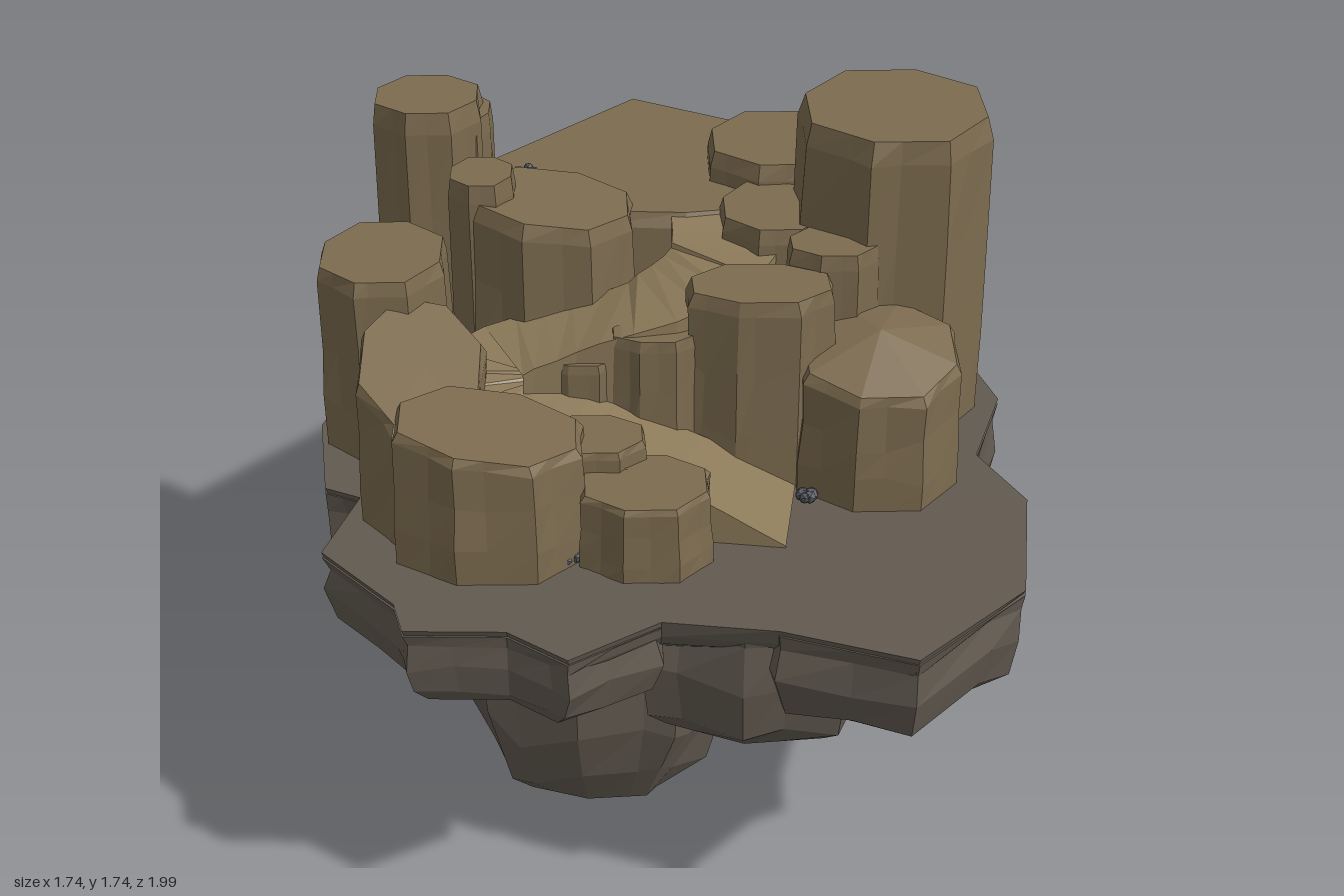
import * as THREE from 'three';

const mat = (color, side = THREE.FrontSide) => new THREE.MeshStandardMaterial({ color, flatShading: true, side });
const BROWN = mat(0x7c6b4f), STONE = mat(0x625a50), PATH = mat(0x8c7a59, THREE.DoubleSide), PEBBLE = mat(0x50535a);
const GROUND = 0.94;

// Small seeded generator for the uneven facets
let seed = 7;
const rand = () => (seed = (seed * 16807) % 2147483647) / 2147483647 - 0.5;

// Side profiles: [height fraction, outline scale]
const PILLAR = [[0, 1.05], [0.3, 1.05], [0.62, 1.02], [0.93, 1.01], [1, 0.94]];
const HANGING = [[0, 0.6], [0.1, 0.8], [0.3, 0.97], [0.65, 1], [1, 1]];
const BLOCK = [[0, 0.8], [0.16, 0.94], [0.55, 1.01], [0.85, 0.98], [1, 1]];
const SLAB = [[0, 0.85], [0.45, 0.95], [0.7, 0.98], [1, 1]];

// Ragged outline of the ground slab, as [x, z]
const RIM = [[-0.05, -1], [0.24, -0.91], [0.35, -0.73], [0.44, -0.62], [0.67, -0.43], [0.8, -0.31], [0.855, -0.12],
  [0.77, 0.15], [0.87, 0.35], [0.82, 0.72], [0.56, 0.98], [0.26, 0.88], [0, 0.85], [-0.2, 0.99], [-0.34, 0.89],
  [-0.57, 0.89], [-0.6, 0.79], [-0.79, 0.59], [-0.73, 0.36], [-0.82, 0.32], [-0.87, 0.03], [-0.79, -0.29],
  [-0.61, -0.46], [-0.66, -0.57], [-0.55, -0.7], [-0.33, -0.79], [-0.27, -0.97]];

// Boxy oval outline inside the given x and z limits
function oval(x0, x1, z0, z1, n = 8) {
  return Array.from({ length: n }, (_, i) => {
    const a = 0.3 + (i / n) * Math.PI * 2, c = Math.cos(a), s = Math.sin(a);
    const k = 1 / Math.pow(Math.abs(c) ** 3 + Math.abs(s) ** 3, 1 / 3);
    return [(x0 + x1) / 2 + (x1 - x0) / 2 * c * k, (z0 + z1) / 2 + (z1 - z0) / 2 * s * k];
  });
}

// Part of the rim, closed by its ends moved inwards
function sector(from, count) {
  const edge = Array.from({ length: count }, (_, i) => RIM[(from + i) % RIM.length]);
  const inner = [edge[count - 1], edge[0]].map(([x, z]) => [x * 0.4, z * 0.4]);
  return [...edge, ...inner];
}

// Adds a point on every edge, later pushed in as a shallow groove
const splitEdges = (outline) => outline.flatMap((p, i) => {
  const q = outline[(i + 1) % outline.length], t = 0.5 + rand() * 0.5;
  return [p, [p[0] + (q[0] - p[0]) * t, p[1] + (q[1] - p[1]) * t]];
});

// Faceted rock lofted over an outline; slope tilts the top along x and z, peak raises its middle
function rock(outline, y0, y1, { profile = PILLAR, slope = [0, 0], peak = 0, rough = 0.05, split = true, material = BROWN } = {}) {
  const pts = split ? splitEdges(outline) : outline, n = pts.length;
  const cx = pts.reduce((s, p) => s + p[0], 0) / n, cz = pts.reduce((s, p) => s + p[1], 0) / n;
  const pos = [], idx = [];
  profile.forEach(([t, k], r) => {
    const inner = r > 0 && r < profile.length - 1;
    pts.forEach(([x, z], i) => {
      const s = k + (inner ? rand() * rough - (split && i % 2 ? 0.03 : 0) : 0);
      const px = cx + (x - cx) * s, pz = cz + (z - cz) * s;
      const tilt = slope[0] * (px - cx) + slope[1] * (pz - cz);
      const wobble = r > 0 && r < profile.length - 2 ? rand() * 0.12 * (y1 - y0) : 0;
      pos.push(px, y0 + (y1 - y0 + tilt) * t + wobble, pz);
    });
  });
  const last = (profile.length - 1) * n, bottom = pos.length / 3, top = bottom + 1;
  pos.push(cx, y0, cz, cx, y1 + peak, cz);
  for (let i = 0; i < n; i++) {
    const j = (i + 1) % n;
    for (let a = 0; a < last; a += n) idx.push(a + j, a + i, a + n + i, a + j, a + n + i, a + n + j);
    idx.push(bottom, i, j, top, last + j, last + i);
  }
  return surface(pos, idx, material);
}

function surface(pos, idx, material) {
  const indexed = new THREE.BufferGeometry();
  indexed.setAttribute('position', new THREE.Float32BufferAttribute(pos, 3));
  indexed.setIndex(idx);
  const geometry = indexed.toNonIndexed();
  geometry.computeVertexNormals();
  return new THREE.Mesh(geometry, material);
}

// Sloping path along a centre line, with walls down to the ground
function ramp(points, halfWidth, steps) {
  const curve = new THREE.CatmullRomCurve3(points.map((p) => new THREE.Vector3(...p)));
  const pos = [], idx = [];
  for (let s = 0; s <= steps; s++) {
    const p = curve.getPoint(s / steps), d = curve.getTangent(s / steps).setY(0).normalize();
    const dx = -d.z * halfWidth, dz = d.x * halfWidth;
    pos.push(p.x - dx, GROUND, p.z - dz, p.x - dx, p.y, p.z - dz, p.x + dx, p.y, p.z + dz, p.x + dx, GROUND, p.z + dz);
    for (let k = 0; k < 3 && s < steps; k++) {
      const a = s * 4 + k, b = a + 4;
      idx.push(a, a + 1, b, a + 1, b + 1, b);
    }
  }
  return surface(pos, idx, PATH);
}

export function createModel() {
  const model = new THREE.Group();
  const add = (name, part) => {
    part.name = name;
    model.add(part);
  };

  add('groundSlab', rock(RIM, 0.78, GROUND, { profile: SLAB, rough: 0.02, split: false, material: STONE }));

  // Rounded rocks hanging below: x and z limits, lowest height
  const hanging = {
    frontKeelRock: [-0.52, 0.18, -0.1, 0.52, 0.03],
    lowestKeelRock: [-0.28, 0.36, -0.66, 0.12, 0],
    rightHangingRock: [0.12, 0.81, -0.58, 0.22, 0.2],
    backLeftHangingRock: [-0.62, -0.08, -0.75, -0.1, 0.34],
    frontLowerLedge: [-0.1, 0.55, 0.1, 0.86, 0.54],
  };
  for (const [name, [x0, x1, z0, z1, y]] of Object.entries(hanging)) {
    const profile = name === 'frontLowerLedge' ? BLOCK : HANGING;
    add(name, rock(oval(x0, x1, z0, z1, 9), y, GROUND - 0.015, { profile, rough: 0.06, material: STONE }));
  }

  // Blocks under the rim: first rim corner, corner count, lowest height
  const ledges = {
    backLedge: [25, 5, 0.43], backRightLedge: [2, 4, 0.48], rightLedge: [5, 3, 0.6], frontRightLedge: [7, 5, 0.66],
    frontLeftLedge: [12, 6, 0.72], leftLedge: [18, 4, 0.58], backLeftLedge: [22, 4, 0.56],
  };
  for (const [name, [from, count, y]] of Object.entries(ledges)) {
    add(name, rock(sector(from, count), y, GROUND - 0.015, { profile: BLOCK, material: STONE }));
  }

  // Plateau at the back and the switchback path down from it
  const plateau = [[-0.11, -0.89], [0.36, -0.64], [0.42, -0.5], [0.38, -0.2], [0.05, -0.14], [-0.3, -0.15], [-0.56, -0.38]];
  add('backPlateau', rock(plateau, GROUND - 0.02, 1.45, { rough: 0.03 }));
  add('switchbackPath', ramp([[0.14, 1.45, -0.22], [0.13, 1.41, 0], [-0.02, 1.36, 0.12], [-0.25, 1.28, 0.14], [-0.42, 1.23, 0.2],
    [-0.39, 1.2, 0.33], [-0.2, 1.17, 0.38], [0.05, 1.08, 0.4], [0.3, 0.945, 0.43]], 0.13, 28));

  // Standing rocks: x and z limits, top height
  const standing = {
    tallRightPillar: [0.32, 0.78, -0.39, 0.08, 1.74],
    pillarShoulder: [0.36, 0.6, -0.45, -0.2, 1.66],
    backRightRock: [0.1, 0.47, -0.61, -0.25, 1.53],
    innerRightRock: [0.13, 0.4, -0.29, 0.01, 1.48],
    pillarFootRock: [0.29, 0.51, -0.03, 0.14, 1.48],
    pathDividerRock: [0.05, 0.4, 0.09, 0.3, 1.44],
    pathDividerMiddle: [-0.13, 0.08, 0.17, 0.29, 1.33],
    pathDividerEnd: [-0.29, -0.11, 0.18, 0.28, 1.26],
    frontRightRock: [0.32, 0.7, 0.04, 0.4, 1.28],
    tallLeftPillar: [-0.73, -0.46, -0.43, -0.17, 1.7],
    leftPillarShoulder: [-0.56, -0.44, -0.42, -0.24, 1.65],
    leftRock: [-0.84, -0.53, -0.15, 0.2, 1.43],
    leftFrontRock: [-0.71, -0.42, 0.12, 0.56, 1.3],
    frontLeftRock: [-0.61, -0.18, 0.38, 0.71, 1.26],
    frontMiddleRock: [-0.28, -0.04, 0.36, 0.54, 1.18],
    frontSmallRock: [-0.19, 0.11, 0.45, 0.7, 1.13],
    innerLeftRock: [-0.48, -0.08, -0.28, 0.06, 1.51],
    innerLeftCapRock: [-0.53, -0.37, -0.2, -0.02, 1.58],
  };
  const tops = {
    frontRightRock: { slope: [0, -0.22], peak: 0.05 },
    leftFrontRock: { slope: [-0.25, -0.25] },
    frontLeftRock: { slope: [-0.15, 0] },
    innerLeftRock: { slope: [-0.12, 0] },
  };
  for (const [name, [x0, x1, z0, z1, y]] of Object.entries(standing)) {
    add(name, rock(oval(x0, x1, z0, z1), GROUND - 0.02, y, tops[name]));
  }

  // Little pebble clusters
  for (const [x, y, z] of [[-0.36, 1.46, -0.35], [0.34, 0.95, 0.36], [-0.22, 0.95, 0.62]]) {
    const cluster = new THREE.Group();
    for (let i = 0; i < 5; i++) {
      const pebble = new THREE.Mesh(new THREE.IcosahedronGeometry(0.016 + rand() * 0.008), PEBBLE);
      pebble.position.set(x + rand() * 0.06, y + 0.005, z + rand() * 0.06);
      cluster.add(pebble);
    }
    add('pebbles', cluster);
  }
  return model;
}
